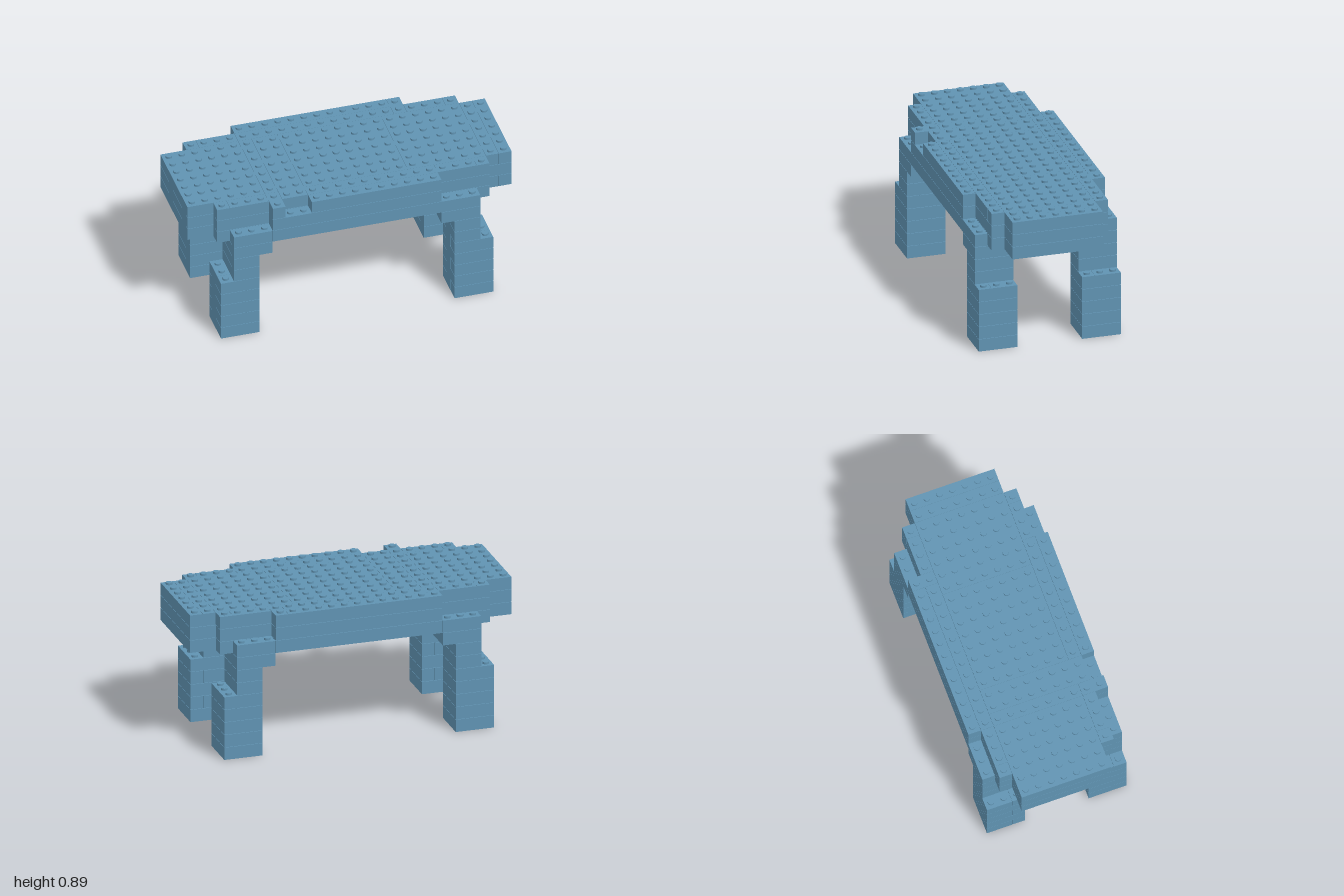
import * as THREE from 'three';
import { mergeGeometries } from 'three/addons/utils/BufferGeometryUtils.js';

const U = 0.08;      // one grid cell: stud pitch and brick height
const GAP = 0.0025;  // thin joint between bricks
const COLS = 25, ROWS = 11;

export function createModel() {
  const group = new THREE.Group();
  group.name = 'brickTable';
  const blue = new THREE.MeshStandardMaterial({ color: 0x6093b2 });
  blue.name = 'sand blue';
  const filled = new Set();
  const key = (i, j, k) => `${i},${j},${k}`;

  // One brick in grid cells: columns i0..i1, course j, rows k0..k1
  const brick = (list, i0, i1, j, k0, k1) => {
    const g = new THREE.BoxGeometry((i1 - i0) * U - GAP / 2, U - GAP, (k1 - k0) * U - GAP / 2);
    g.translate(((i0 + i1 - COLS) / 2) * U, (j + 0.5) * U, ((k0 + k1 - ROWS) / 2) * U);
    list.push(g);
    for (let i = i0; i < i1; i++) for (let k = k0; k < k1; k++) filled.add(key(i, j, k));
  };
  const addMesh = (name, list) => {
    const mesh = new THREE.Mesh(mergeGeometries(list), blue);
    mesh.name = name;
    group.add(mesh);
  };

  // Legs: bonded lower block, narrower neck, bracket under the top
  for (const side of [-1, 1]) for (const k of [0, 8]) {
    const list = [];
    const i = side < 0 ? 2 : 20;
    for (let j = 0; j < 5; j++) {
      if (j % 2 === 0) {
        brick(list, i, i + 3, j, k, k + 2);
        brick(list, i, i + 3, j, k + 2, k + 3);
      } else {
        brick(list, i, i + 2, j, k, k + 3);
        brick(list, i + 2, i + 3, j, k, k + 3);
      }
    }
    const neck = side < 0 ? 3 : 20;
    for (const j of [5, 6]) brick(list, neck, neck + 2, j, k, k + 3);
    if (side < 0) {
      brick(list, 3, 6, 7, k, k + 3);
    } else {
      brick(list, 19, 21, 7, k, k + 3);
      brick(list, 21, 22, 7, k, k + 3);
    }
    addMesh(`${k ? 'front' : 'back'}${side < 0 ? 'Right' : 'Left'}Leg`, list);
  }

  // Lower course of the top, with a shelf over each leg
  const lower = [];
  for (const [a, b] of [[0, 6], [6, 18], [18, 24], [24, 25]]) brick(lower, a, b, 8, 2, 9);
  for (const k of [1, 9]) for (const [a, b] of [[2, 6], [6, 18], [18, 19], [19, 23]]) brick(lower, a, b, 8, k, k + 1);
  for (const k of [0, 10]) for (const [a, b] of [[3, 6], [6, 18], [18, 19], [19, 22]]) brick(lower, a, b, 8, k, k + 1);
  addMesh('lowerCourse', lower);

  // Middle course
  const middle = [];
  brick(middle, 0, 25, 9, 2, 9);
  for (const k of [1, 9]) brick(middle, 2, 23, 9, k, k + 1);
  for (const k of [0, 10]) brick(middle, 6, 19, 9, k, k + 1);
  addMesh('middleCourse', middle);

  // Upper course, with a two-cell notch in the front edge
  const upper = [];
  for (const [a, b] of [[0, 6], [6, 7], [9, 17], [17, 23], [23, 24], [24, 25]]) brick(upper, a, b, 10, 2, 9);
  brick(upper, 7, 9, 10, 2, 10);
  for (const [a, b] of [[2, 3], [3, 6], [9, 19], [19, 22], [22, 23]]) brick(upper, a, b, 10, 9, 10);
  brick(upper, 6, 7, 10, 9, 11);
  brick(upper, 9, 19, 10, 10, 11);
  for (const [a, b] of [[2, 3], [3, 6], [6, 18], [19, 22], [22, 23]]) brick(upper, a, b, 10, 1, 2);
  brick(upper, 6, 18, 10, 0, 1);
  brick(upper, 18, 19, 10, 0, 2);
  addMesh('upperCourse', upper);

  // Studs on every cell left open above
  const studs = [];
  for (const cell of filled) {
    const [i, j, k] = cell.split(',').map(Number);
    if (filled.has(key(i, j + 1, k))) continue;
    const g = new THREE.CylinderGeometry(0.0195, 0.0195, 0.013, 16);
    g.translate((i + 0.5 - COLS / 2) * U, (j + 1) * U + 0.0055, (k + 0.5 - ROWS / 2) * U);
    studs.push(g);
  }
  addMesh('studs', studs);
  return group;
}
